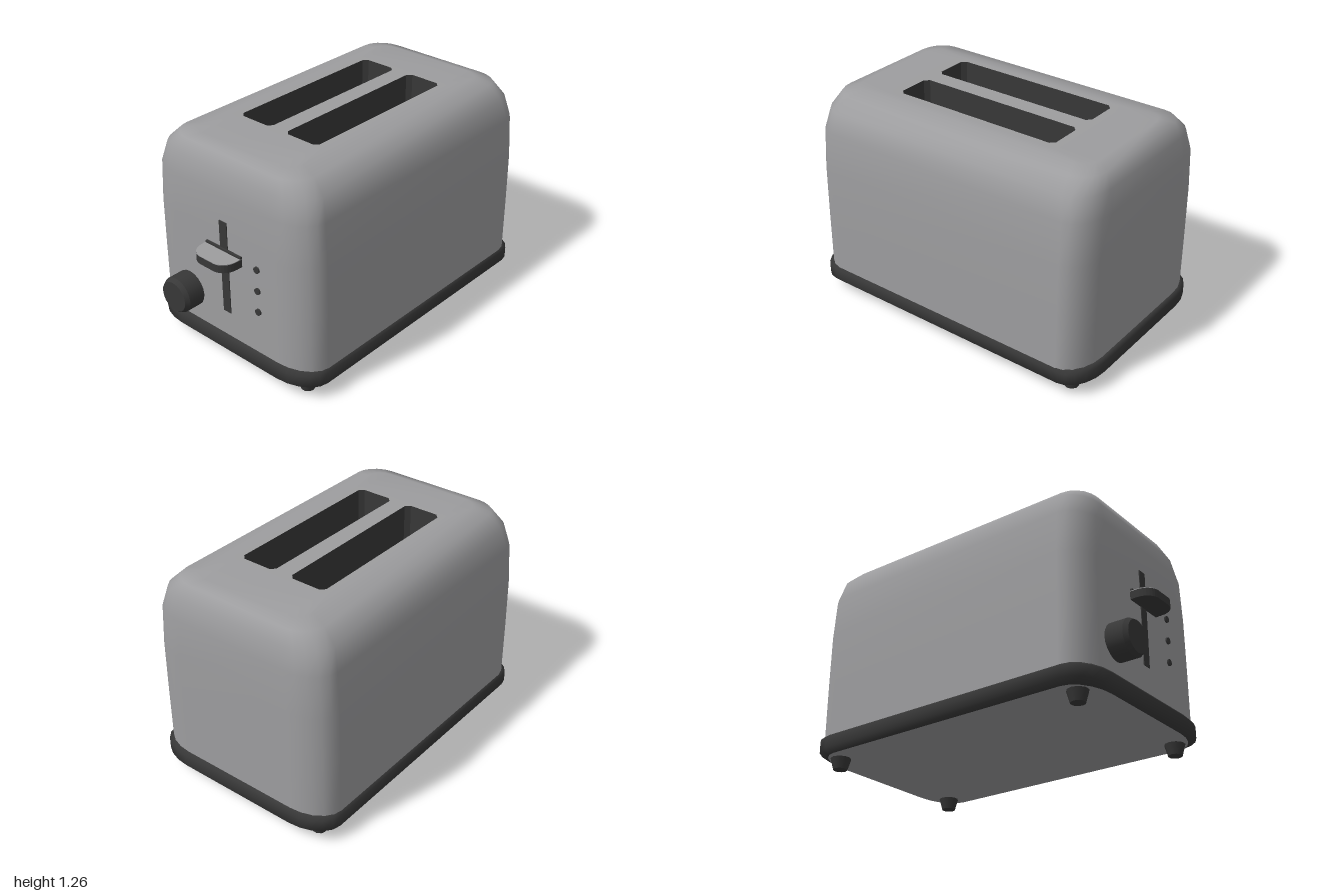
import * as THREE from 'three';

const CX = 0.05; // body centre in x (controls stick out on the -x end)
const steel = new THREE.MeshStandardMaterial({ name: 'brushed grey', color: 0x9d9d9f });
const dark = new THREE.MeshStandardMaterial({ name: 'dark plastic', color: 0x383838 });

// Rounded rectangle outline as [x, z] points
function ring(hx, hz, rx, rz, seg = 5, cx = 0, cz = 0) {
  const pts = [];
  [[1, 1], [-1, 1], [-1, -1], [1, -1]].forEach(([sx, sz], q) => {
    for (let i = 0; i <= seg; i++) {
      const a = (q + i / seg) * Math.PI / 2;
      pts.push(new THREE.Vector2(
        cx + sx * (hx - rx) + rx * Math.cos(a),
        cz + sz * (hz - rz) + rz * Math.sin(a)));
    }
  });
  return pts;
}

// Skin between outlines stacked in y; listing them downwards faces the skin inwards
function loft(sections, flatTop = false) {
  const pos = [], index = [], n = sections[0].pts.length;
  for (const { y, pts } of sections) for (const p of pts) pos.push(p.x, y, p.y);
  for (let s = 0; s < sections.length - 1; s++) {
    for (let i = 0; i < n; i++) {
      const a = s * n + i, b = s * n + (i + 1) % n;
      index.push(a, a + n, b, a + n, b + n, b);
    }
  }
  const geo = new THREE.BufferGeometry();
  geo.setAttribute('position', new THREE.Float32BufferAttribute(pos, 3));
  geo.setIndex(index);
  geo.computeVertexNormals();
  if (flatTop) { // blend the last outline into a level surface
    for (let i = pos.length / 3 - n; i < pos.length / 3; i++) geo.attributes.normal.setXYZ(i, 0, 1, 0);
  }
  return geo;
}

// Level face filling an outline, facing up or down
function cap(pts, y, up = true, holes = []) {
  const flip = list => list.map(p => new THREE.Vector2(p.x, up ? -p.y : p.y));
  const shape = new THREE.Shape(flip(pts));
  holes.forEach(h => shape.holes.push(new THREE.Path(flip(h))));
  return new THREE.ShapeGeometry(shape).rotateX(up ? -Math.PI / 2 : Math.PI / 2).translate(0, y, 0);
}

export function createModel() {
  const model = new THREE.Group();
  model.name = 'toaster';
  const add = (name, geo, mat, x = 0, y = 0, z = 0) => {
    const mesh = new THREE.Mesh(geo, mat);
    mesh.name = name;
    mesh.position.set(x, y, z);
    model.add(mesh);
    return mesh;
  };

  // Body shell: y, half width, half depth, corner radii
  const panel = ring(0.53, 0.31, 0.02, 0.02);
  const shell = [
    [0.15, 0.924, 0.59, 0.15, 0.22],
    [0.5, 0.924, 0.59, 0.15, 0.22],
    [0.8, 0.924, 0.587, 0.15, 0.22],
    [1.04, 0.921, 0.572, 0.15, 0.22],
    [1.16, 0.897, 0.538, 0.15, 0.2],
    [1.235, 0.858, 0.46, 0.13, 0.15],
    [1.255, 0.785, 0.36, 0.09, 0.09],
  ].map(([y, ...r]) => ({ y, pts: ring(...r) }));
  add('bodyShell', loft([...shell, { y: 1.26, pts: panel }], true), steel, CX);

  // Top panel with two bread slots
  const slots = [-0.165, 0.165].map(z => ring(0.513, 0.112, 0.025, 0.025, 1, 0, z));
  add('topPanel', cap(panel, 1.26, true, slots), steel, CX);
  slots.forEach(pts => {
    add('breadSlotWalls', loft([{ y: 1.26, pts }, { y: 0.8, pts }]).toNonIndexed(), dark, CX)
      .geometry.computeVertexNormals();
    add('breadSlotFloor', cap(pts, 0.8), dark, CX);
  });

  // Base rim and underside
  const rim = [
    [0.065, 0.915, 0.567],
    [0.09, 0.946, 0.604],
    [0.155, 0.946, 0.604],
    [0.175, 0.93, 0.582],
    [0.175, 0.9, 0.56],
  ].map(([y, hx, hz]) => ({ y, pts: ring(hx, hz, 0.15, 0.23) }));
  add('baseRim', loft(rim), dark, CX);
  add('underside', cap(rim[0].pts, 0.065, false), steel, CX);

  // Feet
  for (const x of [-0.805, 0.805]) {
    for (const z of [-0.47, 0.47]) {
      add('foot', new THREE.CylinderGeometry(0.06, 0.04, 0.07, 10), dark, CX + x, 0.035, z);
    }
  }

  // Browning knob on the -x end
  const knobProfile = [[0.105, 0], [0.105, 0.105], [0.105, 0.105], [0.09, 0.13], [0.09, 0.13], [0, 0.13]];
  const knob = new THREE.LatheGeometry(knobProfile.map(p => new THREE.Vector2(...p)), 20);
  add('browningKnob', knob, dark, -0.87, 0.355, -0.29).rotation.z = Math.PI / 2;

  // Lever track
  add('leverTrack', new THREE.BoxGeometry(0.008, 0.56, 0.055), dark, -0.874, 0.61, 0);

  // Lever with a light top plate
  const tongue = new THREE.Shape();
  tongue.moveTo(-0.87, 0.13);
  tongue.lineTo(-0.91, 0.13);
  tongue.bezierCurveTo(-0.965, 0.13, -1, 0.09, -1, 0.05);
  tongue.lineTo(-1, -0.05);
  tongue.bezierCurveTo(-1, -0.09, -0.965, -0.13, -0.91, -0.13);
  tongue.lineTo(-0.87, -0.13);
  const slab = depth => new THREE.ExtrudeGeometry(tongue, { depth, bevelEnabled: false, curveSegments: 8 })
    .rotateX(-Math.PI / 2);
  add('lever', slab(0.046), dark, 0, 0.67, 0);
  add('leverTopPlate', slab(0.004), steel, 0, 0.716, 0);
  add('leverBackPlate', new THREE.BoxGeometry(0.016, 0.062, 0.26), dark, -0.88, 0.7, 0);

  // Three small buttons beside the lever
  for (const y of [0.44, 0.57, 0.7]) {
    add('button', new THREE.CylinderGeometry(0.019, 0.019, 0.016, 12), dark, -0.876, y, 0.24)
      .rotation.z = Math.PI / 2;
  }

  return model;
}
